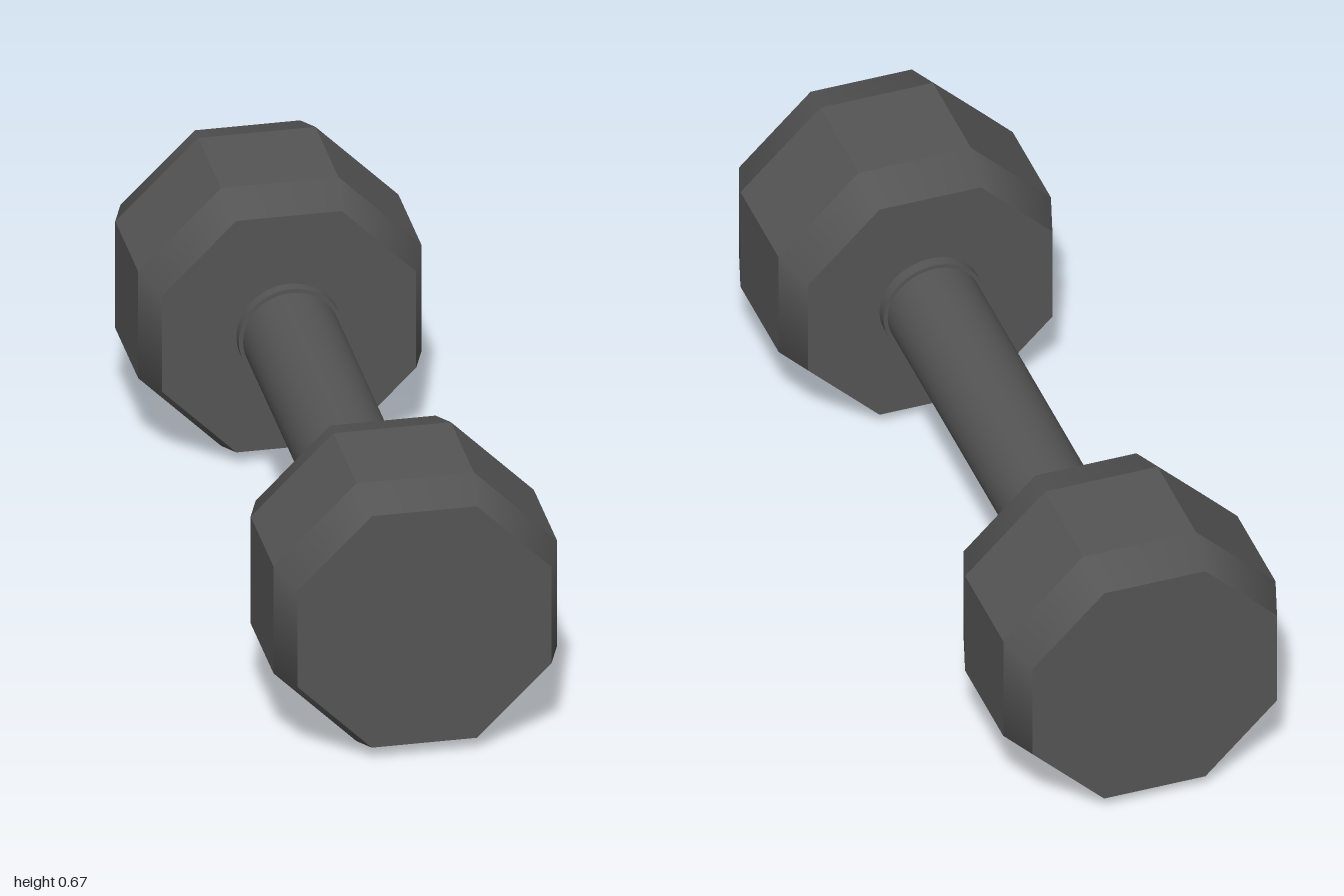
import * as THREE from 'three';

const CENTER_Y = 0.333;
const OUTER = 0.333 / Math.cos(Math.PI / 8); // octagon corner radius
const INNER = 0.299 / Math.cos(Math.PI / 8); // corner radius at the bevelled ends

export function createModel() {
  const iron = new THREE.MeshStandardMaterial({ color: 0x555555 });
  iron.name = 'darkIron';
  const model = new THREE.Group();
  model.name = 'dumbbell';

  // A section of the bar running from z0 to z1
  function section(name, r0, r1, z0, z1, sides, open, flat = false) {
    const start = sides === 8 ? Math.PI / 8 : 0;
    let geo = new THREE.CylinderGeometry(r1, r0, z1 - z0, sides, 1, open, start);
    if (flat) {
      geo = geo.toNonIndexed();
      geo.computeVertexNormals();
    }
    geo.rotateX(Math.PI / 2).translate(0, 0, (z0 + z1) / 2);
    const mesh = new THREE.Mesh(geo, iron);
    mesh.name = name;
    return mesh;
  }

  // Flat octagonal end, facing +z or -z
  function endFace(name, z, facing) {
    const geo = new THREE.CircleGeometry(INNER, 8, Math.PI / 8);
    if (facing < 0) geo.rotateY(Math.PI);
    const mesh = new THREE.Mesh(geo.translate(0, 0, z), iron);
    mesh.name = name;
    return mesh;
  }

  // Weight with flat sides, softly shaded bevels and a collar
  function weight(name) {
    const group = new THREE.Group();
    group.name = name;
    group.add(
      section('innerBevel', INNER, OUTER, 0.53, 0.635, 8, true),
      section('weightSides', OUTER, OUTER, 0.635, 0.895, 8, true, true),
      section('outerBevel', OUTER, INNER, 0.895, 1, 8, true),
      endFace('innerFace', 0.53, -1),
      endFace('outerFace', 1, 1),
      section('collar', 0.124, 0.124, 0.502, 0.535, 48, false)
    );
    return group;
  }

  const front = weight('frontWeight');
  const back = weight('backWeight');
  back.rotation.y = Math.PI;
  model.add(front, back, section('handle', 0.114, 0.114, -0.53, 0.53, 48, true));
  for (const part of model.children) part.position.y = CENTER_Y;
  return model;
}
